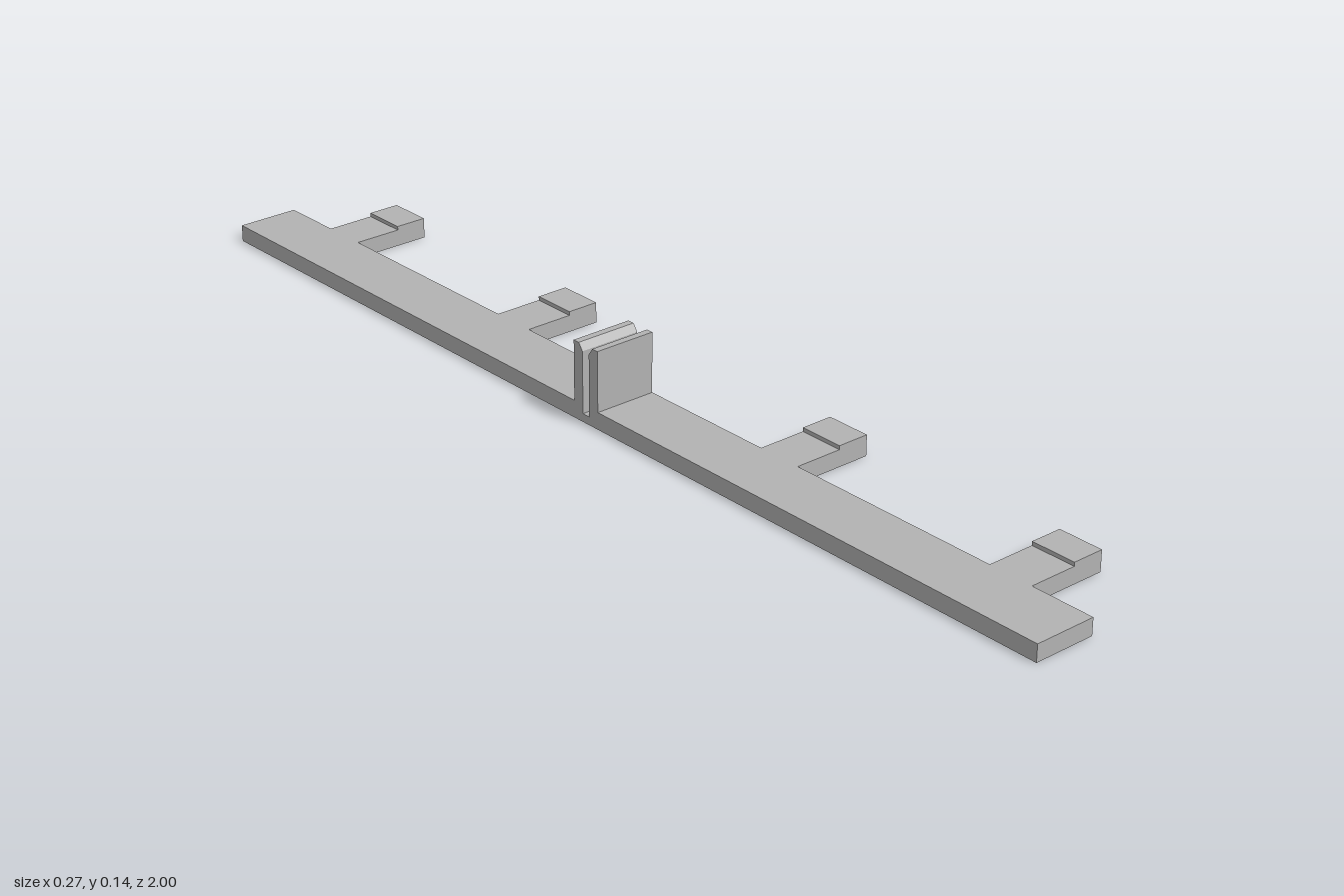
import * as THREE from 'three';

// Extrude a closed outline of [x, y] points
function extrude(points, depth) {
  const shape = new THREE.Shape(points.map(([x, y]) => new THREE.Vector2(x, y)));
  return new THREE.ExtrudeGeometry(shape, { depth, bevelEnabled: false });
}

export function createModel() {
  const group = new THREE.Group();
  const grey = new THREE.MeshStandardMaterial({ color: 0xb2b2b2 });
  grey.name = 'grey';

  const left = -0.133, edge = -0.017, thick = 0.031;

  // Long rail with the slotted clip in the middle: half outline, then mirrored
  const half = [
    [1, 0], [1, thick], [0.03, thick], [0.03, 0.14],
    [0.017, 0.14], [0.008, 0.127], [0.008, 0.015],
  ];
  const mirrored = half.map(([z, y]) => [-z, y]).reverse();
  const railGeometry = extrude([...half, ...mirrored], edge - left);
  railGeometry.rotateY(-Math.PI / 2); // outline x becomes z, depth runs to -x
  railGeometry.translate(edge, 0, 0);
  const rail = new THREE.Mesh(railGeometry, grey);
  rail.name = 'railWithClip';
  group.add(rail);

  // Side tabs with a raised pad at the tip
  const tabWidth = 0.085;
  const tabGeometry = extrude([
    [edge, 0], [0.133, 0], [0.133, 0.038], [0.073, 0.038], [0.073, thick], [edge, thick],
  ], tabWidth);
  tabGeometry.translate(0, 0, -tabWidth / 2);
  [-0.838, -0.338, 0.338, 0.838].forEach((z, i) => {
    const tab = new THREE.Mesh(tabGeometry, grey);
    tab.name = `sideTab${i + 1}`;
    tab.position.z = z;
    group.add(tab);
  });

  return group;
}
